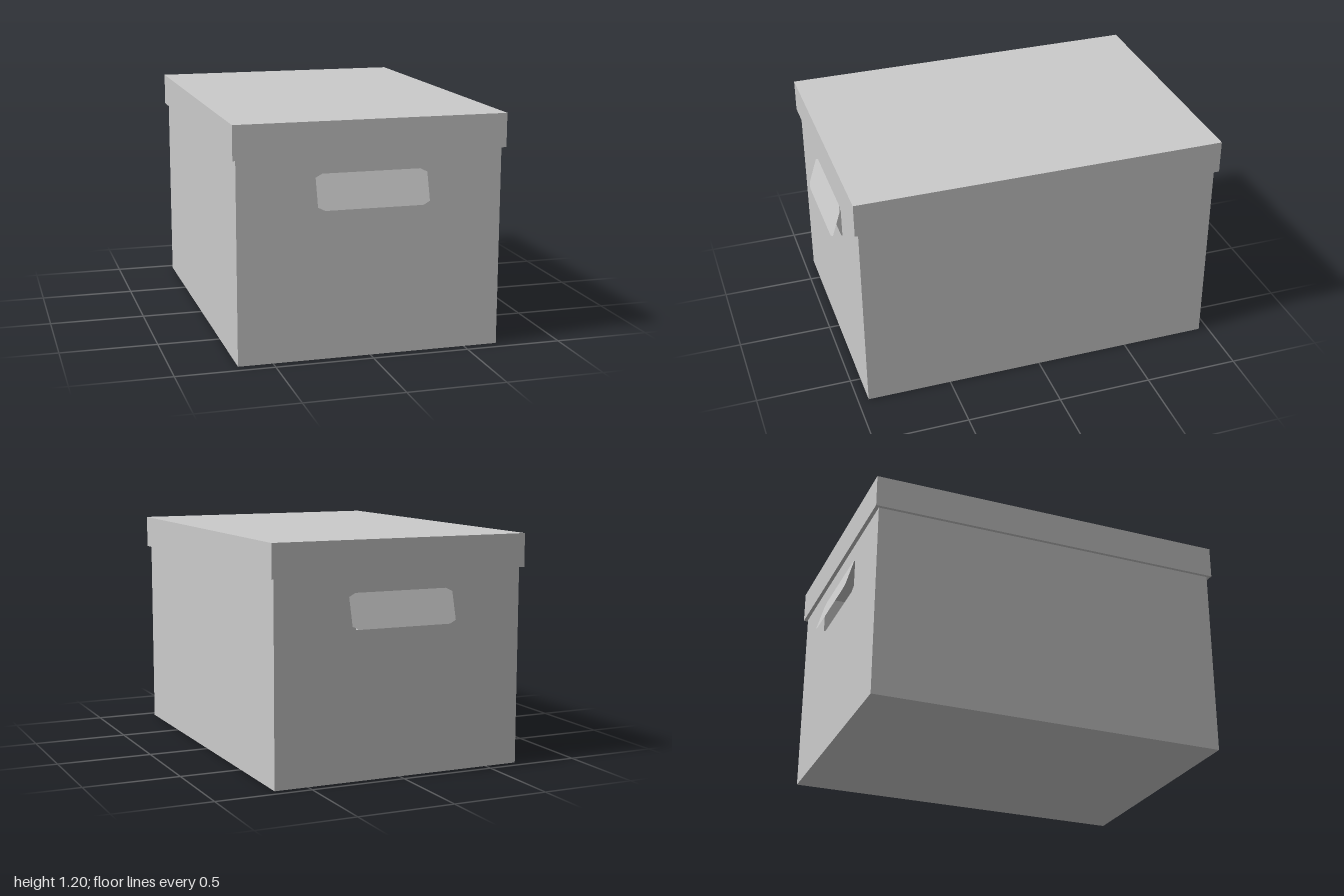
import * as THREE from 'three';

const material = new THREE.MeshStandardMaterial({ color: 0xcccccc, side: THREE.DoubleSide, flatShading: true });

const BODY = { w: 1.354, h: 1.1, d: 1.896 };
const LID = { w: 1.39, d: 1.936, bottom: 1.025, top: 1.197 };
const HANDLE = { halfWidth: 0.285, top: 0.938, height: 0.181, cutX: 0.035, cutY: 0.018 };
const CENTER_Z = -0.003;

function mesh(geometry, name) {
  const m = new THREE.Mesh(geometry, material);
  m.name = name;
  return m;
}

// Box without some sides (0 +x, 1 -x, 2 +y, 3 -y, 4 +z, 5 -z)
function openBox(w, h, d, removed) {
  const g = new THREE.BoxGeometry(w, h, d);
  const index = Array.from(g.index.array).filter((_, i) => !removed.includes(Math.floor(i / 6)));
  g.setIndex(index);
  g.clearGroups();
  return g;
}

function trace(path, points) {
  path.setFromPoints(points.map(([x, y]) => new THREE.Vector2(x, y)));
  path.closePath();
  return path;
}

const rectangle = (w, y0, y1) => [[-w / 2, y0], [w / 2, y0], [w / 2, y1], [-w / 2, y1]];

// Chamfered handle outline hanging down from y = top
function handleOutline(top) {
  const { halfWidth: a, height, cutX, cutY } = HANDLE;
  const b = a - cutX, bottom = top - height;
  return [[-b, bottom], [b, bottom], [a, bottom + cutY], [a, top - cutY],
    [b, top], [-b, top], [-a, top - cutY], [-a, bottom + cutY]];
}

// End wall with its cut-out and the flap folded outwards from the top edge
function createEnd(tipZ) {
  const end = new THREE.Group();
  const wall = trace(new THREE.Shape(), rectangle(BODY.w, 0, BODY.h));
  wall.holes.push(trace(new THREE.Path(), handleOutline(HANDLE.top)));
  end.add(mesh(new THREE.ShapeGeometry(wall), 'endWall'));

  const flap = mesh(new THREE.ShapeGeometry(trace(new THREE.Shape(), handleOutline(0))), 'handleFlap');
  flap.position.y = HANDLE.top;
  flap.rotation.x = -Math.asin(tipZ / HANDLE.height);
  end.add(flap);
  return end;
}

export function createModel() {
  const box = new THREE.Group();
  box.name = 'storageBox';

  // Body: sides and floor, plus two pierced ends
  const body = mesh(openBox(BODY.w, BODY.h, BODY.d, [2, 4, 5]), 'body');
  body.position.set(0, BODY.h / 2, CENTER_Z);
  box.add(body);
  for (const side of [1, -1]) {
    const z = CENTER_Z + side * BODY.d / 2;
    const end = createEnd(1 - Math.abs(z));
    end.name = side > 0 ? 'frontEnd' : 'backEnd';
    end.position.z = z;
    if (side < 0) end.rotation.y = Math.PI;
    box.add(end);
  }

  // Lid: top and skirt, with a rim closing the gap to the body
  const lid = new THREE.Group();
  lid.name = 'lid';
  lid.position.z = CENTER_Z;
  const height = LID.top - LID.bottom;
  const cover = mesh(openBox(LID.w, height, LID.d, [3]), 'lidCover');
  cover.position.y = LID.bottom + height / 2;
  const ring = trace(new THREE.Shape(), rectangle(LID.w, -LID.d / 2, LID.d / 2));
  ring.holes.push(trace(new THREE.Path(), rectangle(BODY.w, -BODY.d / 2, BODY.d / 2)));
  const rim = mesh(new THREE.ShapeGeometry(ring), 'lidRim');
  rim.rotation.x = Math.PI / 2;
  rim.position.y = LID.bottom;
  lid.add(cover, rim);
  box.add(lid);

  return box;
}
